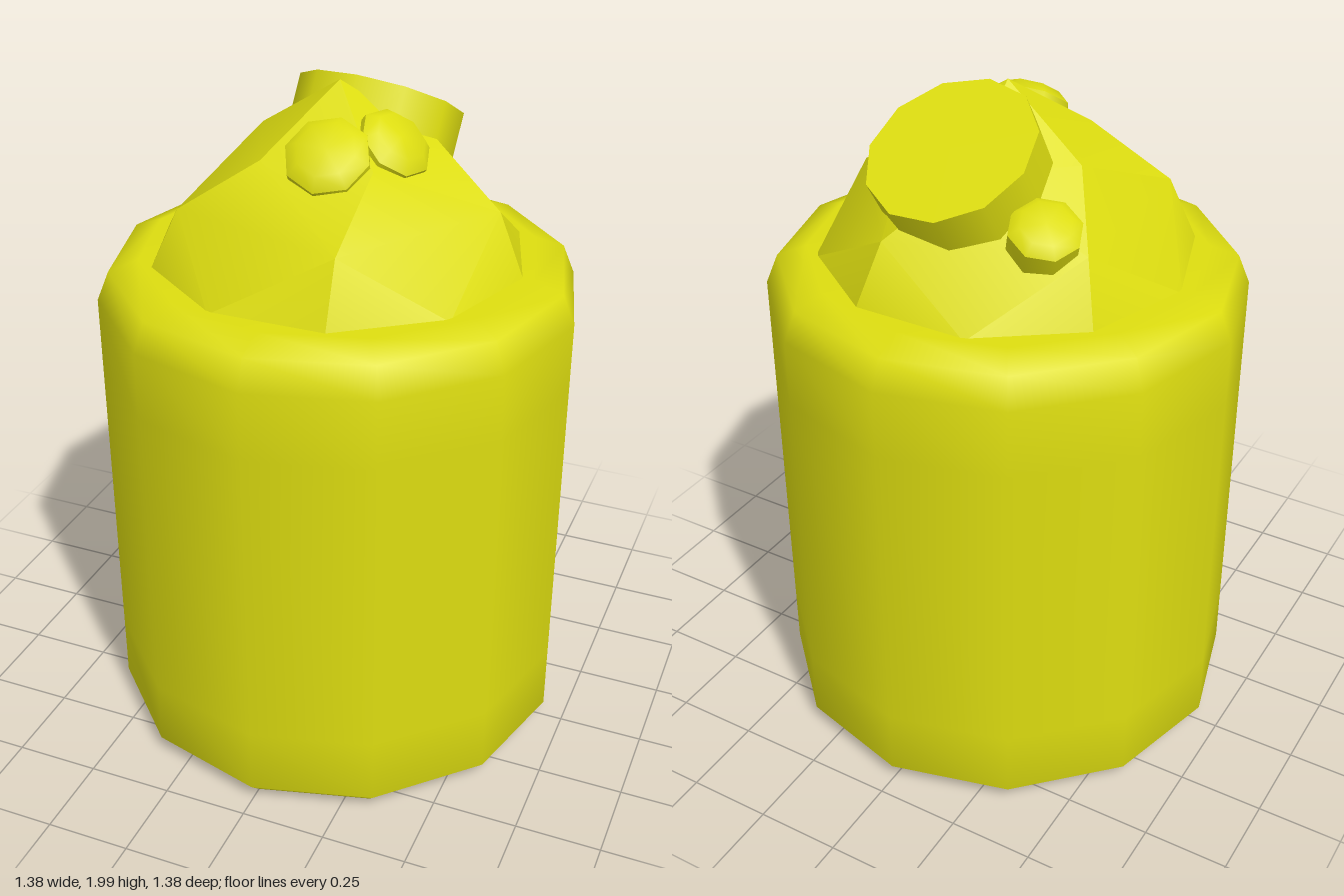
import * as THREE from 'three';
import { toCreasedNormals } from 'three/addons/utils/BufferGeometryUtils.js';

const yellow = new THREE.MeshStandardMaterial({ color: 0xdddd10 });
yellow.name = 'yellow';

function addMesh(parent, geometry, name) {
  const mesh = new THREE.Mesh(geometry, yellow);
  mesh.name = name;
  parent.add(mesh);
  return mesh;
}

function lathe(profile, sides) {
  return new THREE.LatheGeometry(profile.map(([r, y]) => new THREE.Vector2(r, y)), sides);
}

// Point on a ring around the vertical axis, angle in degrees from +x towards +z
function ringPoint(radius, y, degrees) {
  const a = THREE.MathUtils.degToRad(degrees);
  return new THREE.Vector3(radius * Math.cos(a), y, radius * Math.sin(a));
}

// Twisted five-fold mound: ten base corners, two rings of five, one apex
function moundGeometry() {
  const apex = new THREE.Vector3(0, 1.98, 0);
  const base = (k) => ringPoint(0.54, 1.48, 36 * k);
  const mid = (k) => ringPoint(0.46, 1.66, -2.5 + 72 * k);
  const upper = (k) => ringPoint(0.265, 1.81, -23 + 72 * k);
  const corners = [];
  for (let k = 0; k < 5; k++) {
    corners.push(base(2 * k + 1), base(2 * k), mid(k));
    corners.push(mid(k + 1), base(2 * k + 1), mid(k));
    corners.push(base(2 * k + 2), base(2 * k + 1), mid(k + 1));
    corners.push(upper(k + 1), mid(k), upper(k));
    corners.push(mid(k + 1), mid(k), upper(k + 1));
    corners.push(upper(k + 1), upper(k), apex);
  }
  const geometry = new THREE.BufferGeometry().setFromPoints(corners);
  return toCreasedNormals(geometry, 0.5);
}

// Stand a part whose top centre is its origin so that it faces along an axis
function place(mesh, centre, axis) {
  mesh.position.set(...centre);
  mesh.quaternion.setFromUnitVectors(
    new THREE.Vector3(0, 1, 0), new THREE.Vector3(...axis).normalize());
}

export function createModel() {
  const model = new THREE.Group();
  model.name = 'lumpyJar';

  // Twelve-sided rounded body
  addMesh(model, lathe([
    [0, 0], [0.64, 0], [0.69, 0.05], [0.69, 0.25], [0.69, 1.17],
    [0.69, 1.37], [0.655, 1.455], [0.57, 1.487], [0, 1.487],
  ], 12), 'body');

  // Faceted mound on top
  addMesh(model, moundGeometry(), 'mound');

  // Large tilted disc at the back of the mound
  const disc = new THREE.CylinderGeometry(0.24, 0.24, 0.2, 11);
  disc.translate(0, -0.1, 0);
  place(addMesh(model, disc, 'largeStub'), [0.03, 1.865, -0.245], [0.06, 0.86, -0.5]);

  // Three small bevelled stubs
  const stub = toCreasedNormals(lathe([
    [0, -0.13], [0.118, -0.13], [0.118, -0.03], [0.083, 0], [0, 0],
  ], 8).toNonIndexed(), 0.8);
  const stubs = [
    ['frontStub', [0.05, 1.865, 0.225], [0.1, 0.77, 0.63], 1],
    ['leftStub', [0.205, 1.87, 0.07], [0.62, 0.75, 0.2], 0.92],
    ['backStub', [-0.28, 1.745, -0.29], [-0.3, 0.86, -0.38], 0.85],
  ];
  for (const [name, centre, axis, size] of stubs) {
    const mesh = addMesh(model, stub, name);
    place(mesh, centre, axis);
    mesh.scale.setScalar(size);
  }

  return model;
}
